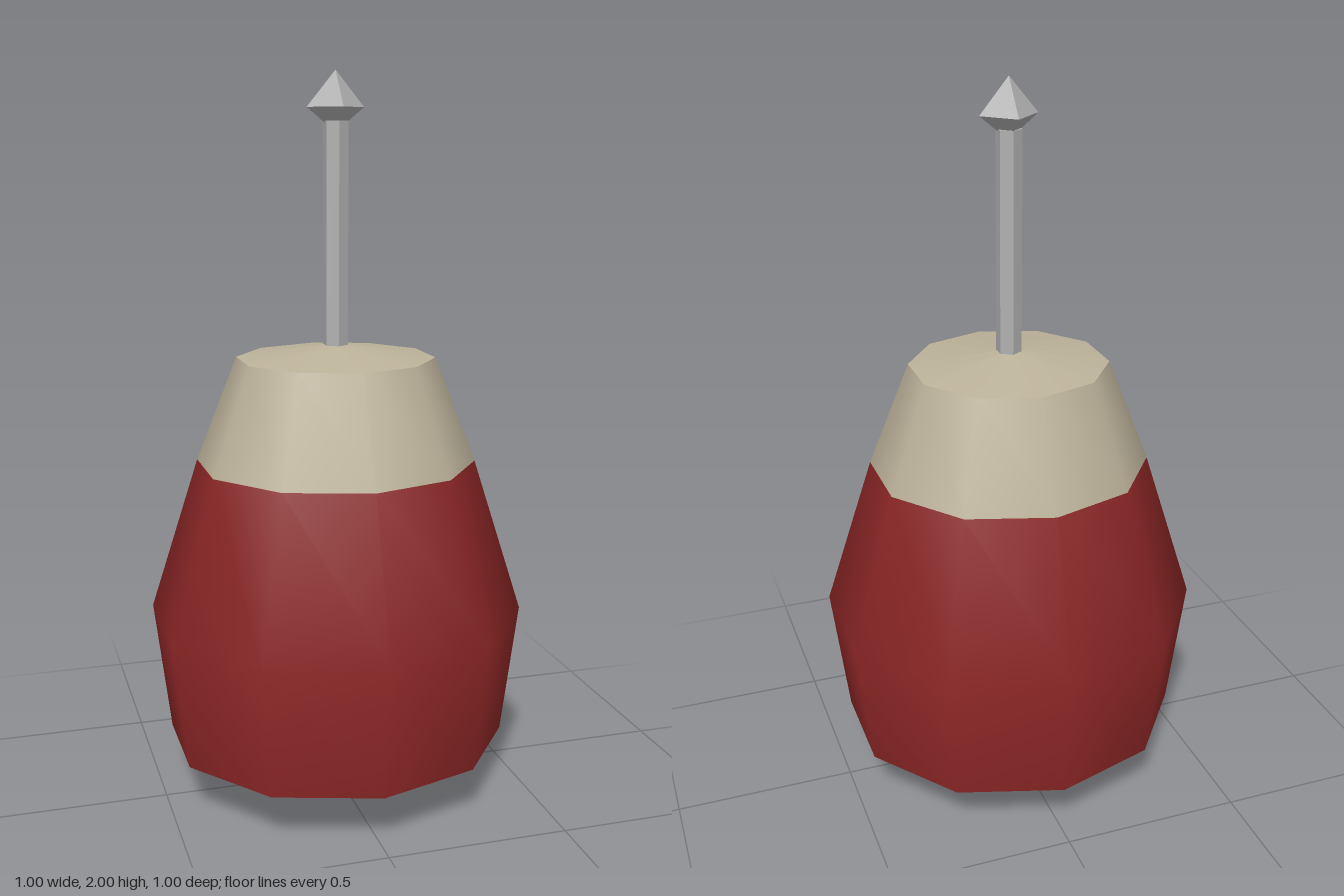
import * as THREE from 'three';

const SIDES = 10;

// Lathe from [radius, height] pairs listed bottom to top
function lathe(profile, sides) {
  return new THREE.LatheGeometry(profile.map(([r, y]) => new THREE.Vector2(r, y)), sides);
}

export function createModel() {
  const red = new THREE.MeshStandardMaterial({ color: 0x8c2626 });
  red.name = 'red';
  const beige = new THREE.MeshStandardMaterial({ color: 0xbdb39b });
  beige.name = 'beige';
  const metal = new THREE.MeshStandardMaterial({ color: 0xb0b0b0, flatShading: true });
  metal.name = 'metal';

  const model = new THREE.Group();
  model.name = 'model';
  const add = (name, geometry, material, parent = model) => {
    const mesh = new THREE.Mesh(geometry, material);
    mesh.name = name;
    parent.add(mesh);
    return mesh;
  };

  // Ten-sided body, slightly wider across x
  const body = new THREE.Group();
  body.name = 'body';
  body.scale.x = 1.046;
  model.add(body);

  // Smooth side wall: two red bands and a beige shoulder
  const wall = lathe([[0.458, 0.15], [0.502, 0.52], [0.371, 0.95], [0.262, 1.24]], SIDES);
  for (let i = 0; i < SIDES; i++) {
    wall.addGroup(i * 18, 12, 0);
    wall.addGroup(i * 18 + 12, 6, 1);
  }
  add('bodyWall', wall, [red, beige], body);

  // Shallow cones close both ends with a sharp edge
  add('pointedBase', lathe([[0, 0.003], [0.458, 0.15]], SIDES), red, body);
  add('topCap', lathe([[0.262, 1.24], [0, 1.28]], SIDES), beige, body);

  // Hexagonal rod
  const rod = add('rod', new THREE.CylinderGeometry(0.035, 0.035, 0.62, 6), metal);
  rod.position.y = 1.56;

  // Four-sided pointed tip
  const tip = add('tip', lathe([[0, 1.84], [0.075, 1.905], [0, 2]], 4), metal);
  tip.scale.x = 1.05;

  return model;
}
